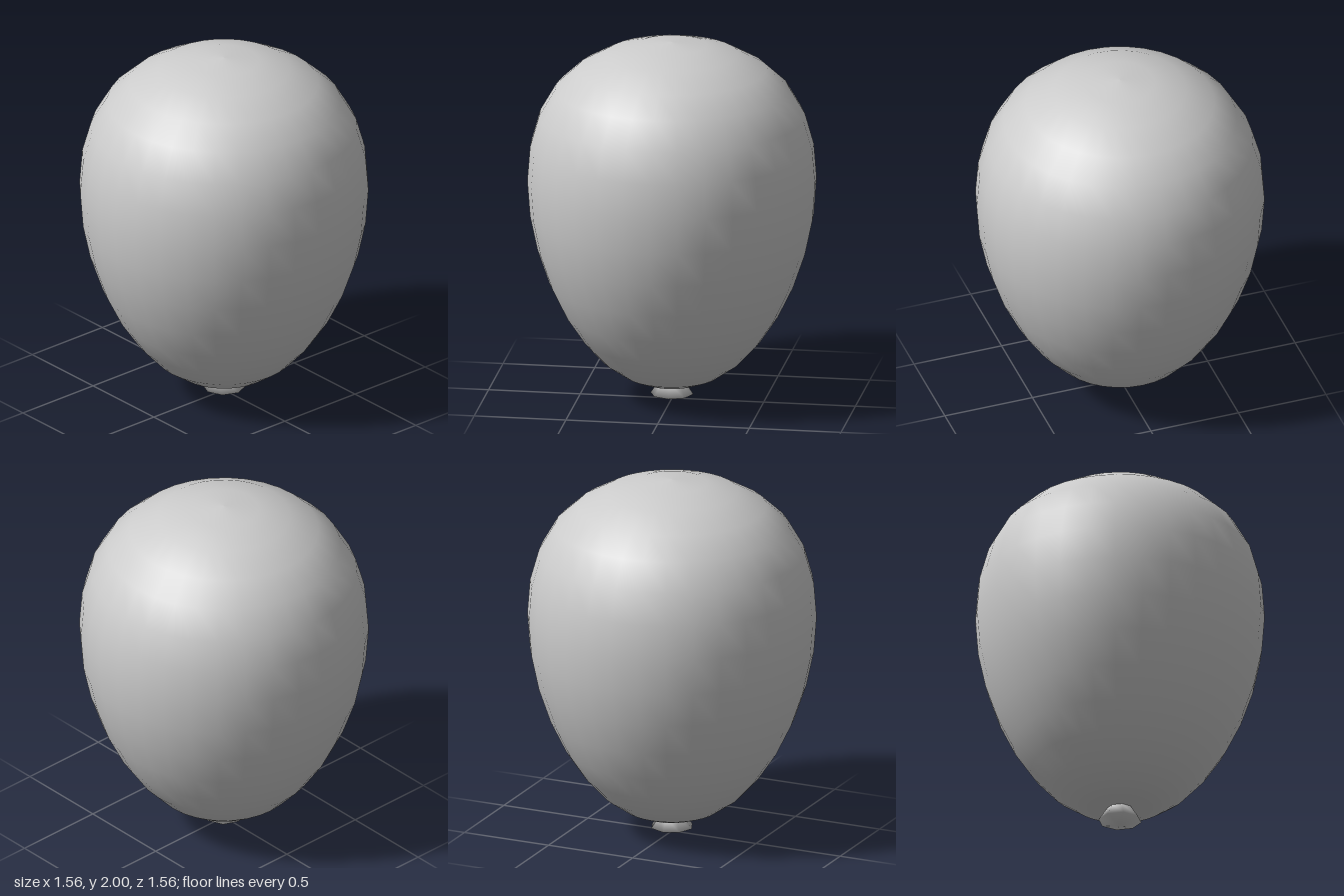
import * as THREE from 'three';

// Smooth turned part from [radius, height] pairs, listed bottom to top
function turned(name, profile, sides, material) {
  const points = profile.map(([r, y]) => new THREE.Vector2(r, y));
  const mesh = new THREE.Mesh(new THREE.LatheGeometry(points, sides), material);
  mesh.name = name;
  return mesh;
}

export function createModel() {
  const group = new THREE.Group();
  group.name = 'balloon';
  const rubber = new THREE.MeshStandardMaterial({ color: 0xcccccc });

  // Inflated body, widest above the middle
  const body = [
    [0, 0.1], [0.152, 0.095], [0.255, 0.135], [0.37, 0.215], [0.48, 0.335],
    [0.577, 0.48], [0.66, 0.65], [0.725, 0.84], [0.765, 1.03], [0.78, 1.23],
    [0.765, 1.42], [0.717, 1.59], [0.63, 1.74], [0.51, 1.85], [0.357, 1.935],
    [0.188, 1.984], [0, 2],
  ];
  group.add(turned('body', body, 32, rubber));

  // Flared knot with a shallow pointed underside
  const knot = [[0, 0], [0.117, 0.027], [0.072, 0.095], [0.06, 0.115]];
  group.add(turned('knot', knot, 8, rubber));

  return group;
}
